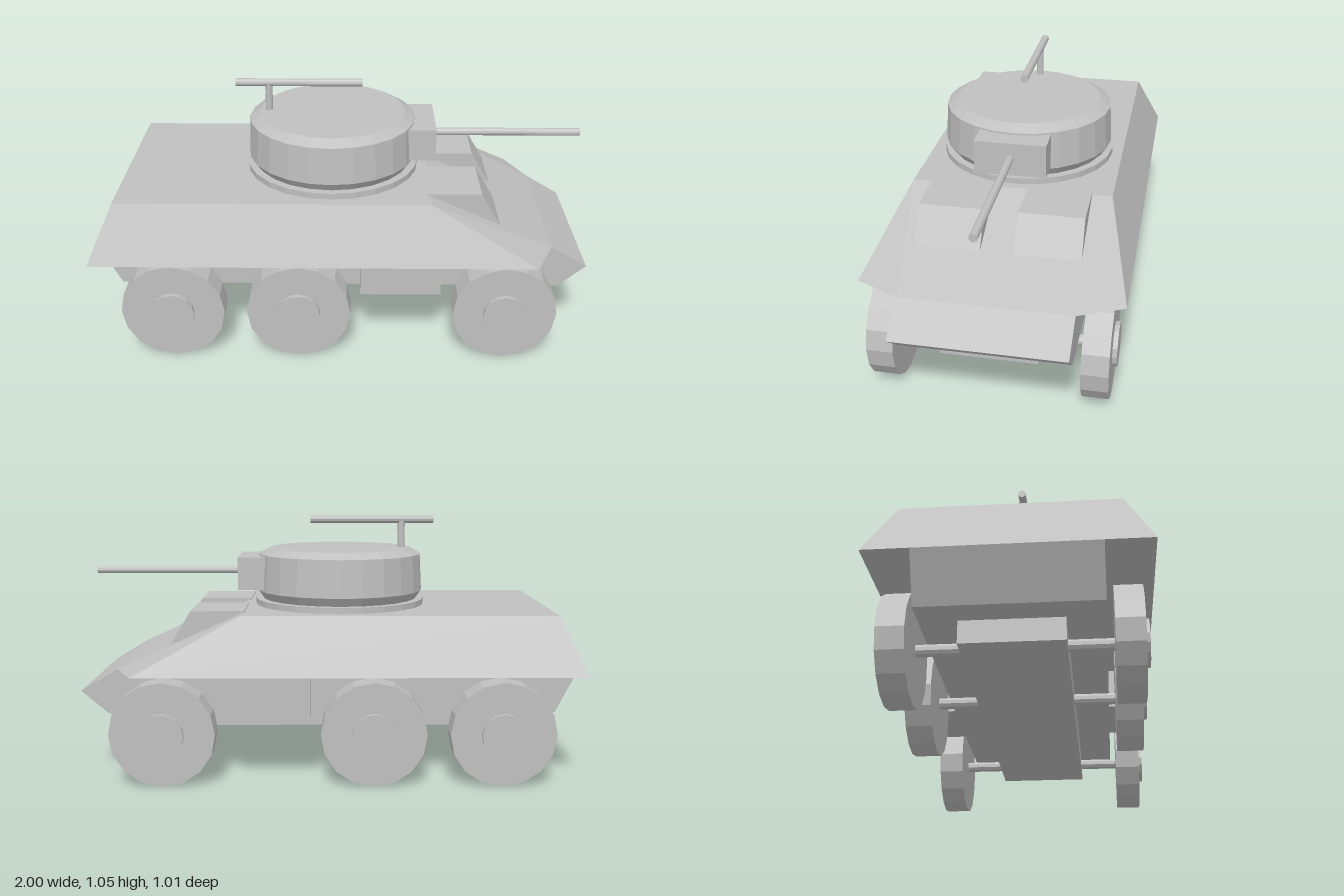
import * as THREE from 'three';
import { ConvexGeometry } from 'three/addons/geometries/ConvexGeometry.js';

export function createModel() {
  const model = new THREE.Group();
  model.name = 'armouredCar';
  const grey = new THREE.MeshStandardMaterial({ color: 0xc0c0c0, flatShading: true });
  grey.name = 'plain grey';

  function add(name, geometry, x = 0, y = 0, z = 0) {
    const mesh = new THREE.Mesh(geometry, grey);
    mesh.name = name;
    mesh.position.set(x, y, z);
    model.add(mesh);
    return mesh;
  }
  // box given by its limits on each axis
  function box(name, [x0, x1], [y0, y1], [z0, z1]) {
    return add(name, new THREE.BoxGeometry(x1 - x0, y1 - y0, z1 - z0),
      (x0 + x1) / 2, (y0 + y1) / 2, (z0 + z1) / 2);
  }
  // side profile extruded across z
  function profile(name, points, z0, z1) {
    const shape = new THREE.Shape(points.map(([x, y]) => new THREE.Vector2(x, y)));
    const geometry = new THREE.ExtrudeGeometry(shape, { depth: z1 - z0, bevelEnabled: false });
    return add(name, geometry, 0, 0, z0);
  }
  // rod lying along x
  function rodX(name, x0, x1, y, r) {
    const geometry = new THREE.CylinderGeometry(r, r, x1 - x0, 12).rotateZ(Math.PI / 2);
    return add(name, geometry, (x0 + x1) / 2, y, 0);
  }
  // disc or rod lying along z, with a corner at the bottom
  function discZ(name, x, y, z0, z1, r, sides) {
    const geometry = new THREE.CylinderGeometry(r, r, z1 - z0, sides).rotateX(Math.PI / 2);
    return add(name, geometry, x, y, (z0 + z1) / 2);
  }

  // sloped upper hull with overhanging sides
  const corners = [];
  for (const s of [-1, 1]) {
    for (const [x, y, z] of [[-0.9, 0.675, 0.4], [0.35, 0.675, 0.4],
      [-1, 0.45, 0.505], [0.77, 0.45, 0.505], [0.85, 0.45, 0.33]]) {
      corners.push(new THREE.Vector3(x, y, z * s));
    }
  }
  add('upperHull', new ConvexGeometry(corners));

  // narrow lower hull with the pointed nose, and the chassis beam
  profile('lowerHull', [[-1, 0.45], [-0.91, 0.27], [0.89, 0.265], [1, 0.36], [0.85, 0.45]], -0.33, 0.33);
  box('chassisBeam', [-0.8, 0.8], [0.18, 0.268], [-0.19, 0.19]);

  for (const s of [-1, 1]) {
    const span = (a, b) => (s > 0 ? [a, b] : [-b, -a]);
    // stowage box and driver's hood on each side
    box('sideBox', [0.075, 0.4], [0.275, 0.44], span(0.32, 0.42));
    profile('driverHood', [[0.34, 0.682], [0.35, 0.64], [0.64, 0.54], [0.555, 0.682]], ...span(0.065, 0.32));
    // wheels and hubs
    for (const x of [-0.685, -0.175, 0.66]) {
      discZ('wheel', x, 0.21, ...span(0.355, 0.458), 0.21, 16);
      discZ('hub', x, 0.21, ...span(0.45, 0.476), 0.087, 16);
    }
  }
  for (const x of [-0.685, -0.175, 0.66]) discZ('axle', x, 0.21, -0.36, 0.36, 0.023, 10);

  // turret ring and turret
  const tx = -0.043;
  add('turretRing', new THREE.CylinderGeometry(0.357, 0.357, 0.03, 24), tx, 0.685, 0);
  const outline = [[0, 0.69], [0.318, 0.69], [0.35, 0.735], [0.342, 0.887], [0.298, 0.912], [0, 0.912]];
  add('turret', new THREE.LatheGeometry(outline.map(([r, y]) => new THREE.Vector2(r, y)), 24), tx, 0, 0);

  // main gun
  box('gunMantlet', [0.2, 0.38], [0.745, 0.88], [-0.142, 0.142]);
  rodX('gunBarrel', 0.37, 0.99, 0.815, 0.016);

  // roof gun on its post
  add('roofGunPost', new THREE.CylinderGeometry(0.015, 0.015, 0.12, 12), -0.305, 0.965, 0);
  rodX('roofGun', -0.44, 0.08, 1.03, 0.016);

  return model;
}
